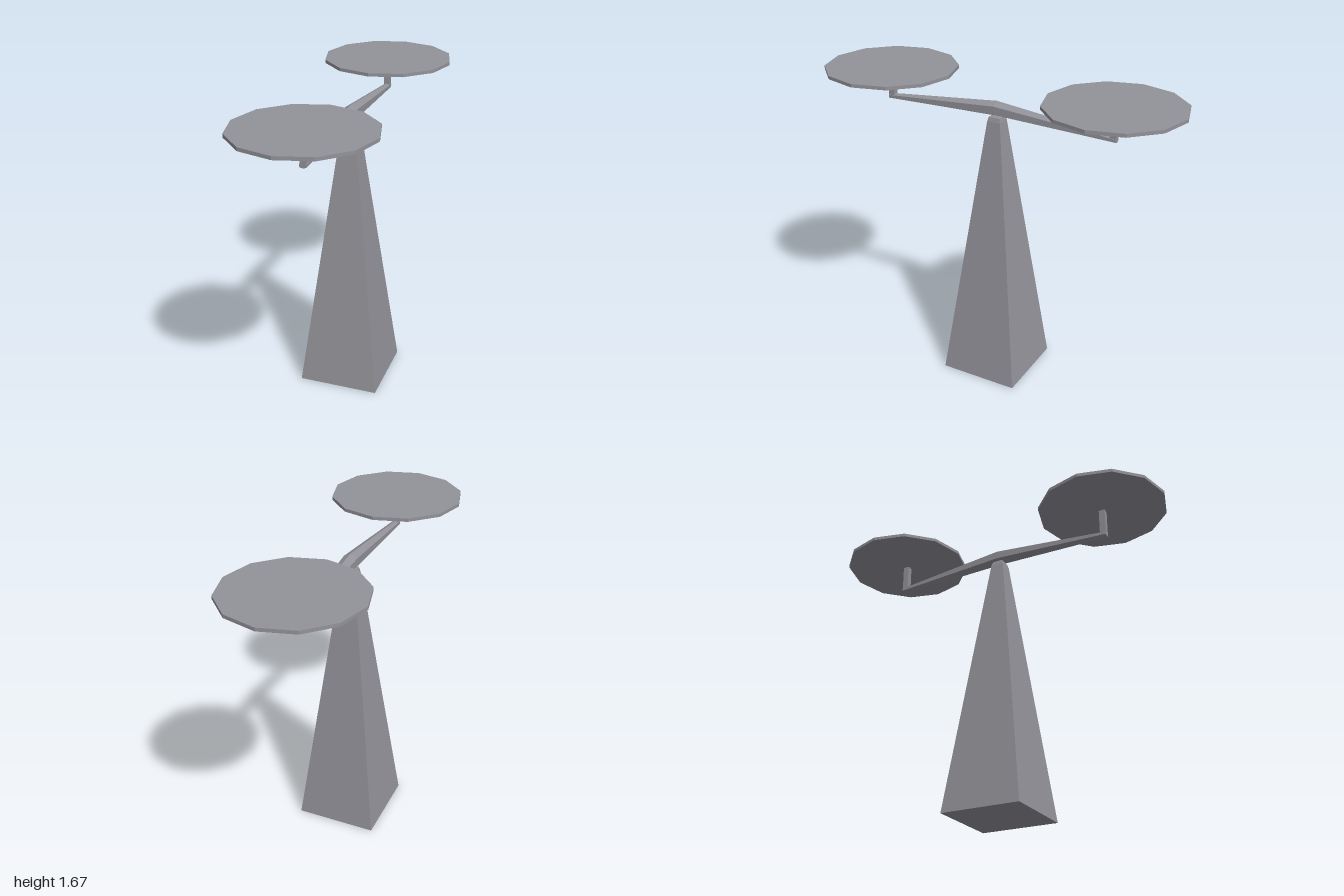
import * as THREE from 'three';

const material = new THREE.MeshStandardMaterial({ color: 0x929299, flatShading: true });

function addPart(parent, name, geometry, x = 0, y = 0, z = 0) {
  const mesh = new THREE.Mesh(geometry, material);
  mesh.name = name;
  mesh.position.set(x, y, z);
  parent.add(mesh);
  return mesh;
}

// Square tapered pillar: [half width, height] pairs turned in four segments
function pillarGeometry() {
  const profile = [[0, 0], [0.22, 0], [0.037, 1.48], [0.031, 1.503], [0.018, 1.514], [0, 1.514]]
    .map(([half, y]) => new THREE.Vector2(half * Math.SQRT2, y));
  return new THREE.LatheGeometry(profile, 4, Math.PI / 4);
}

// Hexagonal ridged beam lofted through sections that shrink and drop towards the ends
function beamGeometry() {
  const sections = [
    { z: -0.66, y: 1.502, w: 0.018, h: 0.014 },
    { z: 0, y: 1.545, w: 0.037, h: 0.04 },
    { z: 0.66, y: 1.502, w: 0.018, h: 0.014 },
  ];
  const hexagon = [[1, -0.6], [1, 0.5], [0, 1], [-1, 0.5], [-1, -0.6], [0, -1]];
  const n = hexagon.length;
  const positions = [];
  for (const s of sections) {
    for (const [u, v] of hexagon) positions.push(u * s.w, s.y + v * s.h, s.z);
  }
  const index = [];
  for (let s = 0; s < sections.length - 1; s++) {
    for (let i = 0; i < n; i++) {
      const j = (i + 1) % n;
      const a = s * n + i, b = s * n + j, c = b + n, d = a + n;
      index.push(a, b, c, a, c, d);
    }
  }
  // End caps
  const last = (sections.length - 1) * n;
  for (let i = 1; i < n - 1; i++) {
    index.push(0, i + 1, i);
    index.push(last, last + i, last + i + 1);
  }
  const geometry = new THREE.BufferGeometry();
  geometry.setAttribute('position', new THREE.Float32BufferAttribute(positions, 3));
  geometry.setIndex(index);
  const flat = geometry.toNonIndexed();
  flat.computeVertexNormals();
  return flat;
}

export function createModel() {
  const model = new THREE.Group();
  model.name = 'balanceScale';

  addPart(model, 'pillar', pillarGeometry());
  addPart(model, 'beam', beamGeometry());

  // A post and a twelve-sided plate at each end of the beam
  for (const [side, sign] of [['front', 1], ['back', -1]]) {
    addPart(model, side + 'Post', new THREE.BoxGeometry(0.032, 0.155, 0.034), 0, 1.5785, sign * 0.643);
    addPart(model, side + 'Plate', new THREE.CylinderGeometry(0.358, 0.358, 0.018, 12), 0, 1.664, sign * 0.642);
  }
  return model;
}
